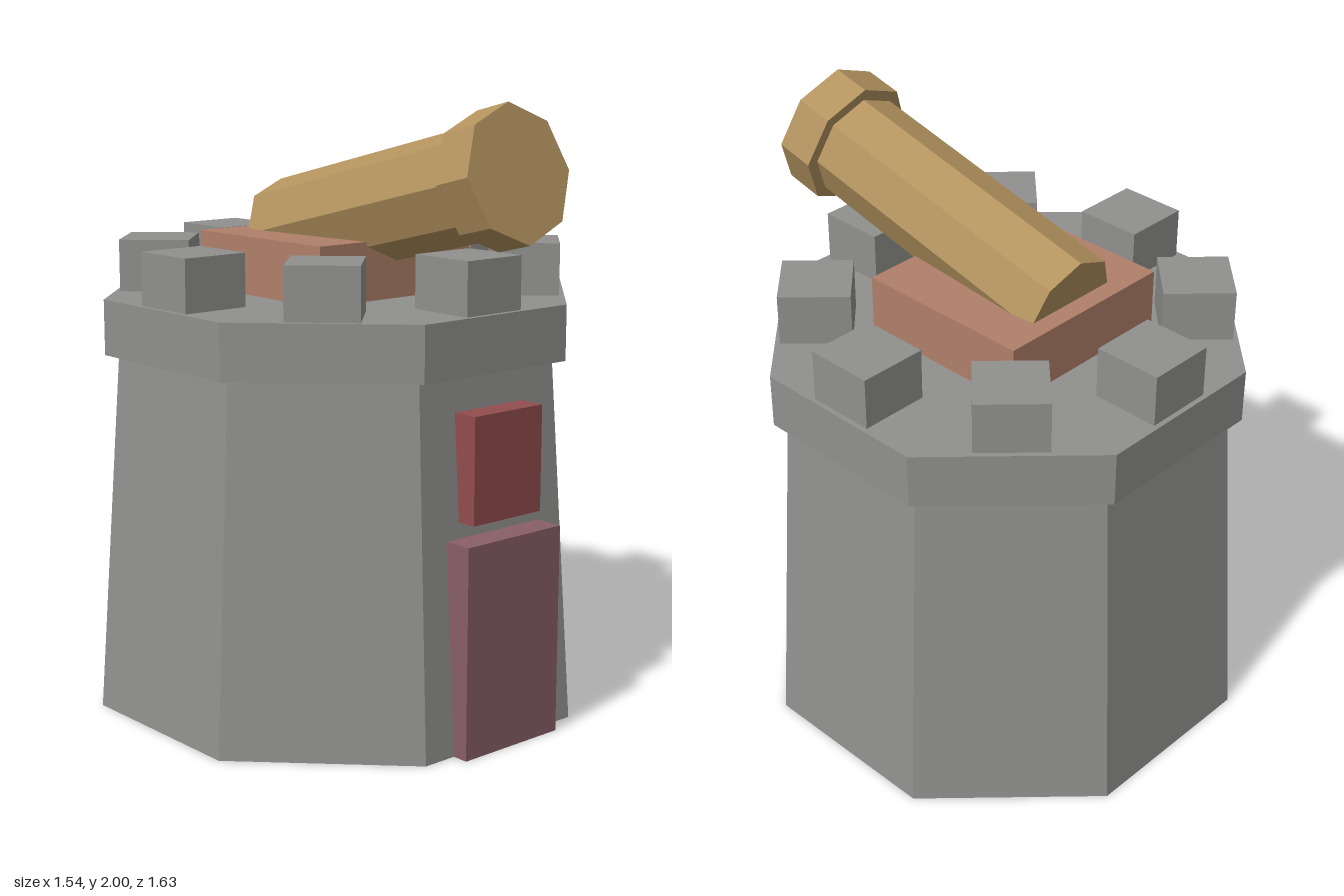
import * as THREE from 'three';

const mat = (name, color) => {
  const m = new THREE.MeshStandardMaterial({ color, flatShading: true, side: THREE.DoubleSide });
  m.name = name;
  return m;
};

export function createModel() {
  const stone = mat('grey stone', 0x90908e);
  const doorRed = mat('dull plum', 0x885f67);
  const windowRed = mat('brick red', 0x924c4e);
  const clay = mat('clay', 0xb08069);
  const brass = mat('brass', 0xb4935f);

  const model = new THREE.Group();
  model.name = 'cannonTower';
  const centreZ = -0.048;

  const add = (name, geometry, material, x, y, z, parent = model) => {
    const mesh = new THREE.Mesh(geometry, material);
    mesh.name = name;
    mesh.position.set(x, y, z);
    parent.add(mesh);
    return mesh;
  };

  // Octagonal shells with flat sides to the front; profile uses [flat half-width, height]
  const octagon = (profile) => new THREE.LatheGeometry(
    profile.map(([a, y]) => new THREE.Vector2(a / Math.cos(Math.PI / 8), y)), 8, Math.PI / 8);

  // Tapered wall, open below, and the overhanging platform
  add('towerWall', octagon([[0.77, 0], [0.693, 1.18]]), stone, 0, 0, centreZ);
  add('platform', octagon([[0.735, 1.18], [0.735, 1.36], [0, 1.36]]), stone, 0, 0, centreZ);

  // Ring of battlement blocks
  for (let i = 0; i < 8; i++) {
    const a = (i * Math.PI) / 4;
    const block = add('battlement', new THREE.BoxGeometry(0.23, 0.23, 0.23), stone,
      Math.sin(a) * 0.603, 1.415, centreZ + Math.cos(a) * 0.603);
    block.rotation.y = a;
  }

  // Door (open underneath) and window, let into the front wall
  const doorGeometry = new THREE.BoxGeometry(0.4, 0.68, 0.105);
  const faces = Array.from(doorGeometry.index.array);
  faces.splice(18, 6);
  doorGeometry.setIndex(faces);
  doorGeometry.clearGroups();
  add('door', doorGeometry, doorRed, 0, 0.34, 0.7225);
  add('window', new THREE.BoxGeometry(0.29, 0.34, 0.12), windowRed, 0, 0.9, 0.68);

  // Cannon base
  add('cannonBase', new THREE.BoxGeometry(0.645, 0.25, 0.615), clay, 0, 1.425, -0.078);

  // Cannon, built along +y from the muzzle and tilted upward to the front
  const cannon = new THREE.Group();
  cannon.name = 'cannon';
  cannon.position.set(0, 1.79, 0.765);
  cannon.rotation.x = Math.PI / 2 - 0.234;
  model.add(cannon);
  add('muzzleRing', new THREE.CylinderGeometry(0.216, 0.216, 0.134, 8), brass, 0, -0.067, 0, cannon);
  add('barrel', new THREE.CylinderGeometry(0.177, 0.177, 1.02, 8), brass, 0, -0.604, 0, cannon);

  return model;
}
